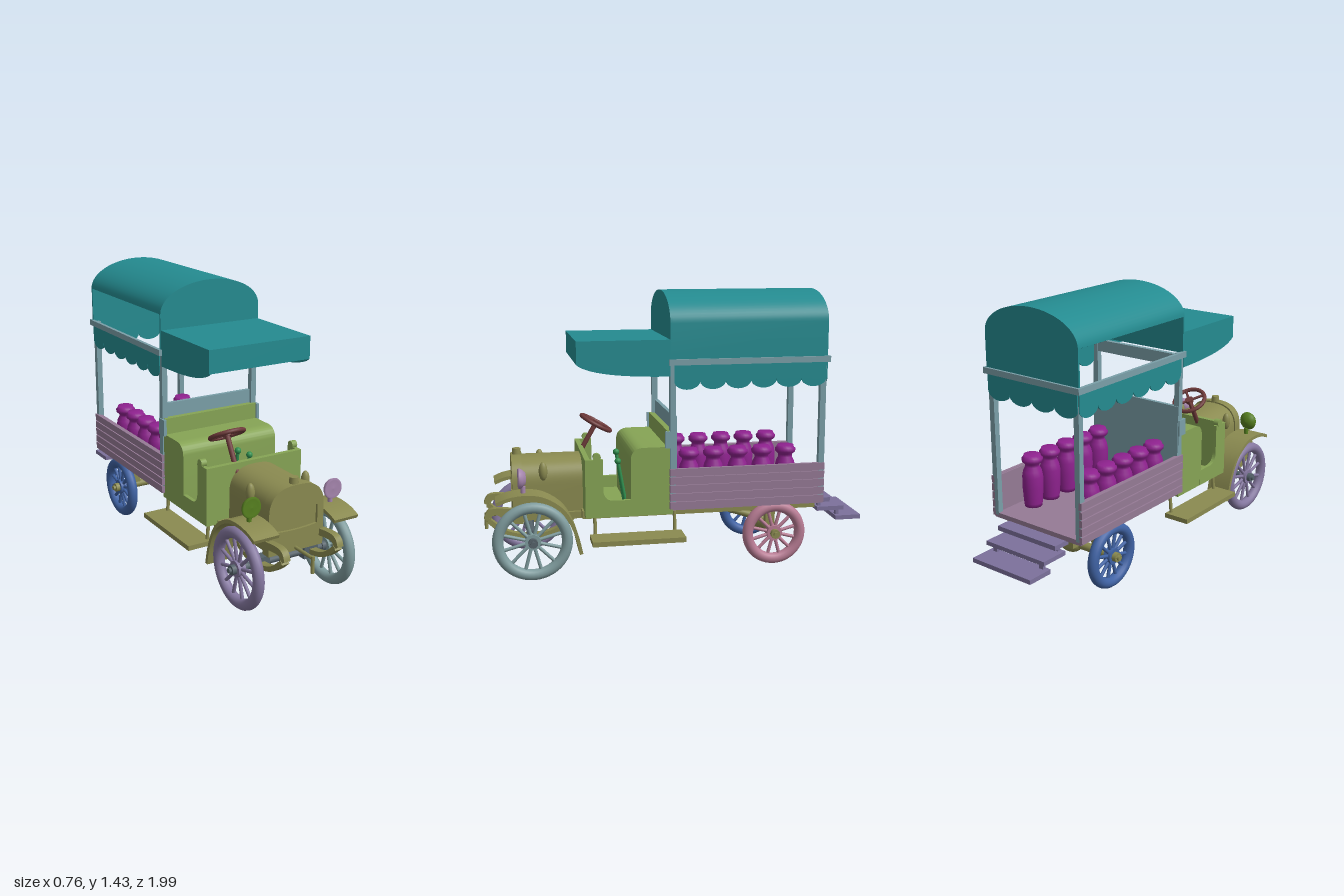
import * as THREE from 'three';
import { toCreasedNormals } from 'three/addons/utils/BufferGeometryUtils.js';

const COLORS = {
  teal: 0x248b90, frame: 0x7a9fa8, mauve: 0x957a95, olive: 0x8a8a50, green: 0x86a455, purple: 0x7c719c,
  wood: 0x6e3a3a, churn: 0x8f228f, iron: 0x55626a, lever: 0x2f8f4f, lampR: 0x56801f, lampL: 0xa585ad,
  wheelFL: 0x7f9c9e, wheelFR: 0x84779f, wheelRL: 0xb87c94, wheelRR: 0x3f62a3,
};
const MAT = {};
for (const k in COLORS) MAT[k] = new THREE.MeshStandardMaterial({ color: COLORS[k], side: THREE.DoubleSide });

export function createModel() {
  const root = new THREE.Group();
  const body = new THREE.Group();
  body.name = 'truck';
  body.position.x = -0.018;
  root.add(body);

  const add = (name, geo, mat, x = 0, y = 0, z = 0, parent = body) => {
    const m = new THREE.Mesh(geo, MAT[mat]);
    m.name = name;
    m.position.set(x, y, z);
    parent.add(m);
    return m;
  };
  // box given by its limits
  const box = (name, mat, x0, x1, y0, y1, z0, z1) =>
    add(name, new THREE.BoxGeometry(x1 - x0, y1 - y0, z1 - z0), mat, (x0 + x1) / 2, (y0 + y1) / 2, (z0 + z1) / 2);
  const extrude = (shape, depth) =>
    toCreasedNormals(new THREE.ExtrudeGeometry(shape, { depth, bevelEnabled: false, curveSegments: 16 }), 0.6);
  // side profile drawn in (z, y), extruded along x around its middle
  const sideways = (shape, width) => extrude(shape, width).rotateY(-Math.PI / 2).translate(width / 2, 0, 0);
  const rod = (name, mat, a, b, r, parent = body) => {
    const p = new THREE.Vector3(...a), q = new THREE.Vector3(...b), d = q.clone().sub(p);
    const m = add(name, new THREE.CylinderGeometry(r, r, d.length(), 12), mat, 0, 0, 0, parent);
    m.position.copy(p).add(q).multiplyScalar(0.5);
    m.quaternion.setFromUnitVectors(new THREE.Vector3(0, 1, 0), d.normalize());
    return m;
  };
  // strip of constant thickness along a smooth line
  const ribbon = (pts, t) => {
    const c = new THREE.SplineCurve(pts.map(p => new THREE.Vector2(...p)));
    const up = [], down = [];
    for (let i = 0; i <= 24; i++) {
      const p = c.getPoint(i / 24), g = c.getTangent(i / 24);
      up.push(new THREE.Vector2(p.x - g.y * t / 2, p.y + g.x * t / 2));
      down.unshift(new THREE.Vector2(p.x + g.y * t / 2, p.y - g.x * t / 2));
    }
    return new THREE.Shape([...up, ...down]);
  };
  // upright sides with a rounded top; power above 2 squares the shoulders
  const arch = (w, y0, yShoulder, yTop, power = 2) => {
    const pts = [new THREE.Vector2(-w, y0), new THREE.Vector2(w, y0)];
    for (let i = 0; i <= 32; i++) {
      const a = Math.PI * i / 32, c = Math.cos(a), s = Math.abs(Math.sin(a));
      pts.push(new THREE.Vector2(w * Math.sign(c) * Math.abs(c) ** (2 / power),
        yShoulder + (yTop - yShoulder) * s ** (2 / power)));
    }
    return new THREE.Shape(pts);
  };
  const scallops = (u0, u1, n) => {
    const s = new THREE.Shape(), w = (u1 - u0) / n;
    s.moveTo(u0, 1.1).lineTo(u1, 1.1).lineTo(u1, 0.998);
    for (let i = 0; i < n; i++) s.absellipse(u1 - w * (i + 0.5), 0.998, w / 2, 0.044, 0, -Math.PI, true);
    return s;
  };

  // barrel roof, hollow underneath
  const shell = arch(0.287, 1.1, 1.285, 1.435);
  const hollow = arch(0.275, 1.1, 1.28, 1.423).getPoints();
  const vault = new THREE.Shape([...shell.getPoints().slice(1), ...hollow.slice(1).reverse()]);
  add('roof', extrude(vault, 0.815), 'teal', 0, 0, -0.755);
  for (const z of [-0.755, 0.05]) add('roofEnd', extrude(shell, 0.01), 'teal', 0, 0, z);

  // cab awning
  const cheek = new THREE.Shape();
  cheek.moveTo(0.06, 1.205).lineTo(0.525, 1.205).lineTo(0.525, 1.09).quadraticCurveTo(0.45, 1.025, 0.06, 1.022);
  box('awningTop', 'teal', -0.284, 0.284, 1.193, 1.205, 0.06, 0.525);
  box('awningFront', 'teal', -0.284, 0.284, 1.09, 1.205, 0.515, 0.525);
  for (const s of [-1, 1]) add('awningSide', sideways(cheek, 0.01), 'teal', s * 0.279);

  // scalloped valance
  for (const s of [-1, 1]) add('sideValance', sideways(scallops(-0.75, 0.04, 6), 0.008), 'teal', s * 0.282);
  add('rearValance', extrude(scallops(-0.28, 0.28, 4), 0.008), 'teal', 0, 0, -0.758);

  // canopy frame
  for (const s of [-1, 1]) {
    const x = s * 0.29;
    box('sideRail', 'frame', x - 0.009, x + 0.009, 1.078, 1.108, -0.768, 0.066);
    for (const z of [-0.737, 0.045]) box('post', 'frame', s * 0.267 - 0.015, s * 0.267 + 0.015, 0.35, 1.1, z - 0.015, z + 0.015);
  }
  box('rearRail', 'frame', -0.298, 0.298, 1.078, 1.108, -0.768, -0.752);
  box('headerBeam', 'frame', -0.27, 0.27, 1.028, 1.09, 0.035, 0.06);
  box('bulkhead', 'frame', -0.28, 0.28, 0.34, 0.82, 0.025, 0.045);

  // load bed with slatted sides
  box('bedFloor', 'mauve', -0.28, 0.28, 0.335, 0.36, -0.75, 0.045);
  for (const s of [-1, 1]) {
    box('sideBoard', 'mauve', s * 0.272 - 0.009, s * 0.272 + 0.009, 0.345, 0.55, -0.748, 0.058);
    for (let i = 0; i < 5; i++) {
      const y = 0.343 + i * 0.043;
      box('slat', 'mauve', s * 0.282 - 0.009, s * 0.282 + 0.009, y, y + 0.037, -0.752, 0.062);
    }
  }

  // milk churns in two rows
  const churn = new THREE.LatheGeometry([[0, 0], [0.044, 0], [0.047, 0.02], [0.053, 0.1], [0.053, 0.16], [0.047, 0.19],
    [0.036, 0.212], [0.036, 0.225], [0.052, 0.24], [0.054, 0.255], [0.046, 0.262], [0.042, 0.275], [0, 0.275]]
    .map(p => new THREE.Vector2(...p)), 20);
  for (const s of [-1, 1]) for (let i = 0; i < 5; i++) add('milkChurn', churn, 'churn', s * 0.185, 0.36, -0.055 - i * 0.129);

  // cab: seat block, backrest, door cut-outs, dashboard
  const seat = new THREE.Shape();
  seat.moveTo(0.045, 0.315).lineTo(0.26, 0.315).lineTo(0.26, 0.6).quadraticCurveTo(0.26, 0.665, 0.19, 0.665).lineTo(0.045, 0.665);
  add('seat', sideways(seat, 0.55), 'green');
  box('backrest', 'green', -0.275, 0.275, 0.66, 0.748, 0.045, 0.075);
  const side = new THREE.Shape();
  side.moveTo(0.25, 0.315).lineTo(0.49, 0.315).lineTo(0.49, 0.613).lineTo(0.4, 0.613).lineTo(0.4, 0.46)
    .quadraticCurveTo(0.4, 0.4, 0.34, 0.4).lineTo(0.25, 0.4);
  for (const s of [-1, 1]) {
    add('cabSide', sideways(side, 0.02), 'green', s * 0.266);
    add('armScroll', new THREE.CylinderGeometry(0.02, 0.02, 0.03, 16).rotateZ(Math.PI / 2), 'green', s * 0.265, 0.625, 0.43);
    box('backrestBracket', 'frame', s * 0.28 - 0.008, s * 0.28 + 0.008, 0.66, 0.745, 0.03, 0.085);
  }
  box('dashboard', 'green', -0.275, 0.275, 0.315, 0.613, 0.465, 0.49);
  box('cabFloor', 'green', -0.27, 0.27, 0.315, 0.335, 0.25, 0.48);

  // hand levers
  for (const [x, top] of [[0.02, 0.595], [0.09, 0.56]]) {
    rod('lever', 'lever', [x, 0.33, 0.26], [x, top, 0.3], 0.009);
    add('leverKnob', new THREE.SphereGeometry(0.017, 14, 10), 'lever', x, top, 0.3);
  }

  // steering wheel; its own y axis is the column
  const steering = new THREE.Group();
  steering.name = 'steeringWheel';
  steering.position.set(-0.102, 0.73, 0.39);
  steering.rotation.x = -0.52;
  body.add(steering);
  add('rim', new THREE.TorusGeometry(0.086, 0.011, 10, 32).rotateX(Math.PI / 2), 'wood', 0, 0, 0, steering);
  add('hub', new THREE.CylinderGeometry(0.022, 0.022, 0.02, 16), 'wood', 0, 0, 0, steering);
  rod('column', 'wood', [0, -0.24, 0], [0, 0, 0], 0.013, steering);
  for (let i = 0; i < 4; i++) {
    const a = (i + 0.5) * Math.PI / 2;
    rod('spoke', 'wood', [0, 0, 0], [0.086 * Math.cos(a), 0, 0.086 * Math.sin(a)], 0.007, steering);
  }

  // bonnet and radiator
  add('bonnet', extrude(arch(0.148, 0.29, 0.46, 0.594, 2.6), 0.33), 'olive', 0, 0, 0.485);
  const shellFront = arch(0.155, 0.27, 0.465, 0.602, 2.6);
  const opening = new THREE.Path();
  opening.moveTo(-0.12, 0.385).lineTo(-0.12, 0.48).quadraticCurveTo(0, 0.515, 0.12, 0.48)
    .lineTo(0.12, 0.385).quadraticCurveTo(0, 0.37, -0.12, 0.385);
  shellFront.holes.push(opening);
  add('radiatorShell', extrude(shellFront, 0.05), 'olive', 0, 0, 0.795);
  box('radiatorCore', 'olive', -0.13, 0.13, 0.36, 0.51, 0.8, 0.832);
  add('radiatorCap', new THREE.CylinderGeometry(0.021, 0.024, 0.036, 16), 'olive', 0, 0.614, 0.815);
  rod('crankShaft', 'olive', [0, 0.285, 0.82], [0, 0.285, 0.985], 0.009);
  rod('crankArm', 'olive', [0, 0.295, 0.98], [0, 0.21, 0.98], 0.009);

  // chassis
  box('chassis', 'olive', -0.215, 0.215, 0.295, 0.335, -0.73, 0.5);
  box('frontChassis', 'olive', -0.15, 0.15, 0.285, 0.315, 0.49, 0.835);
  const horn = ribbon([[0.48, 0.305], [0.7, 0.31], [0.85, 0.335], [0.95, 0.34], [0.975, 0.3]], 0.035);
  const spring = ribbon([[0.97, 0.3], [0.88, 0.23], [0.755, 0.205], [0.63, 0.23], [0.54, 0.3]], 0.025);

  for (const s of [-1, 1]) {
    add('frameHorn', sideways(horn, 0.035), 'olive', s * 0.15);
    add('leafSpring', sideways(spring, 0.04), 'olive', s * 0.15);
    // front mudguard
    add('mudguard', sideways(ribbon([[0.93, 0.412], [0.87, 0.434], [0.78, 0.443], [0.69, 0.425], [0.6, 0.36],
      [0.545, 0.255], [0.515, 0.135]], 0.018), 0.138), 'olive', s * 0.225);
    // headlamp and bonnet lamp
    const lamp = s > 0 ? 'lampL' : 'lampR', lx = s * 0.231;
    add('headlamp', new THREE.LatheGeometry([[0, -0.022], [0.03, -0.018], [0.046, 0], [0.052, 0.012], [0.048, 0.02],
      [0.04, 0.014], [0, 0.018]].map(p => new THREE.Vector2(...p)), 28).rotateX(Math.PI / 2), lamp, lx, 0.525, 0.8);
    rod('headlampStem', lamp, [lx, 0.44, 0.795], [lx, 0.485, 0.795], 0.012);
    add('sideLamp', new THREE.SphereGeometry(0.022, 16, 12).scale(1, 2.2, 1), 'olive', s * 0.158, 0.54, 0.69);
    // running board on bent hangers, the left one slightly further out
    const out = s > 0 ? 0.396 : 0.367;
    add('runningBoard', new THREE.BoxGeometry(0.14, 0.025, 0.47), 'olive', s * (out - 0.07), 0.213, 0.234);
    for (const z of [0.44, 0.03]) {
      rod('hanger', 'olive', [s * 0.235, 0.32, z], [s * 0.245, 0.205, z], 0.009);
      rod('hangerFoot', 'olive', [s * 0.2, 0.312, z], [s * 0.24, 0.312, z], 0.009);
      rod('hangerArm', 'olive', [s * 0.245, 0.203, z], [s * (out - 0.02), 0.203, z], 0.009);
    }
  }

  // spoked wheels; each is built around its own z axis, then turned sideways
  const wheel = (name, mat, hubMat, x, y, z, r) => {
    const g = new THREE.Group();
    g.name = name;
    g.position.set(x, y, z);
    g.rotation.y = Math.PI / 2;
    body.add(g);
    add('tyre', new THREE.TorusGeometry(r - 0.027, 0.028, 14, 48), mat, 0, 0, 0, g);
    add('hub', new THREE.CylinderGeometry(0.04, 0.04, 0.04, 24).rotateX(Math.PI / 2), mat, 0, 0, 0, g);
    add('hubCap', new THREE.CylinderGeometry(0.024, 0.024, 0.085, 16).rotateX(Math.PI / 2), hubMat, 0, 0, 0, g);
    add('axleEnd', new THREE.CylinderGeometry(0.013, 0.013, 0.11, 12).rotateX(Math.PI / 2), hubMat, 0, 0, 0, g);
    for (let i = 0; i < 12; i++) {
      const a = i * Math.PI / 6 + Math.PI / 12;
      rod('spoke', mat, [0, 0, 0], [(r - 0.04) * Math.cos(a), (r - 0.04) * Math.sin(a), 0], 0.009, g);
    }
  };
  wheel('frontLeftWheel', 'wheelFL', 'iron', 0.256, 0.205, 0.755, 0.2);
  wheel('frontRightWheel', 'wheelFR', 'iron', -0.262, 0.205, 0.755, 0.2);
  wheel('rearLeftWheel', 'wheelRL', 'olive', 0.256, 0.182, -0.495, 0.167);
  wheel('rearRightWheel', 'wheelRR', 'olive', -0.258, 0.182, -0.495, 0.167);

  // axles and differential
  rod('frontAxle', 'iron', [-0.26, 0.205, 0.755], [0.26, 0.205, 0.755], 0.018);
  for (const s of [-1, 1]) {
    box('axleBlock', 'iron', s * 0.14 - 0.04, s * 0.14 + 0.04, 0.17, 0.24, 0.73, 0.78);
    box('rearSpring', 'olive', s * 0.17 - 0.02, s * 0.17 + 0.02, 0.2, 0.3, -0.52, -0.47);
  }
  rod('rearAxle', 'olive', [-0.26, 0.182, -0.495], [0.26, 0.182, -0.495], 0.022);
  add('differential', new THREE.SphereGeometry(0.055, 20, 14).scale(1.25, 1, 1), 'olive', 0, 0.185, -0.495);
  rod('propShaft', 'olive', [0, 0.19, -0.495], [0, 0.29, -0.2], 0.02);

  // rear steps
  const treads = [[0.312, 0.336, -0.825, -0.7], [0.264, 0.286, -0.905, -0.755], [0.209, 0.232, -1, -0.86]];
  treads.forEach(([y0, y1, z0, z1]) => box('rearStep', 'purple', -0.187, 0.187, y0, y1, z0, z1));
  for (const s of [-1, 1]) {
    box('stepBracket', 'purple', s * 0.15 - 0.012, s * 0.15 + 0.012, 0.27, 0.32, -0.782, -0.765);
    box('stepBracket', 'purple', s * 0.15 - 0.012, s * 0.15 + 0.012, 0.215, 0.275, -0.885, -0.868);
  }
  return root;
}
